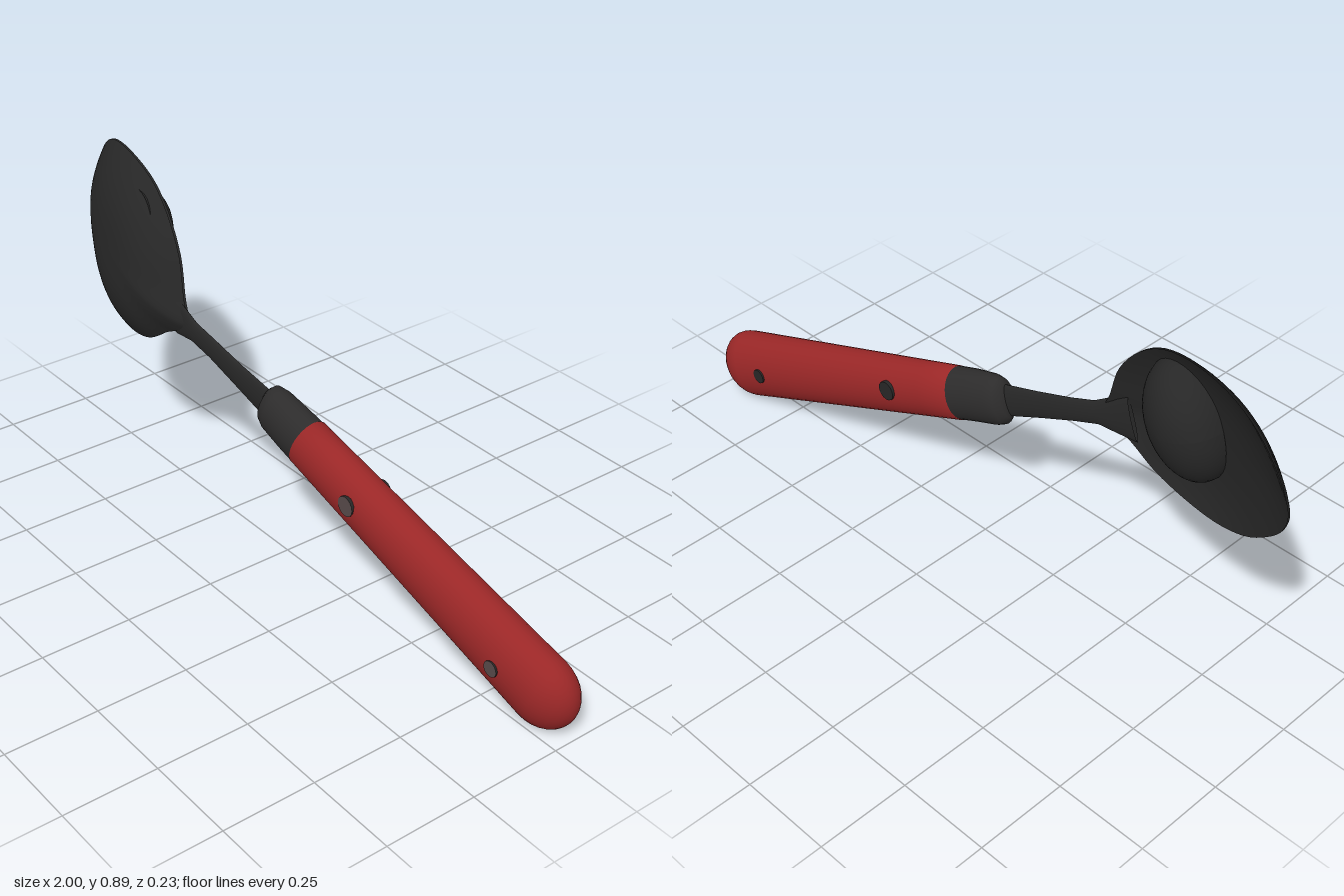
import * as THREE from 'three';

const mat = (name, color, side = THREE.FrontSide) => {
  const m = new THREE.MeshStandardMaterial({ color, side });
  m.name = name;
  return m;
};

function meshFrom(positions, indices) {
  const g = new THREE.BufferGeometry();
  g.setAttribute('position', new THREE.Float32BufferAttribute(positions, 3));
  g.setIndex(indices);
  g.computeVertexNormals();
  return g;
}

// Elliptical sections [x, y, z, halfHeight, halfDepth], square to the line from first to last
function loft(sections, n = 28) {
  const pos = [], idx = [];
  const first = sections[0], last = sections[sections.length - 1];
  const dx = last[0] - first[0], dy = last[1] - first[1], len = Math.hypot(dx, dy);
  sections.forEach(([x, y, z, w, t], i) => {
    for (let j = 0; j < n; j++) {
      const c = Math.cos(j / n * Math.PI * 2) * w, s = Math.sin(j / n * Math.PI * 2) * t;
      pos.push(x - dy / len * c, y + dx / len * c, z + s);
      if (i < sections.length - 1) {
        const p = i * n + j, q = i * n + (j + 1) % n;
        idx.push(p, q, p + n, q, q + n, p + n);
      }
    }
  });
  return meshFrom(pos, idx);
}

// Depth of the tilted, sagging bowl rim
const rimZ = (x, y) => 0.215 + 0.213 * x - 0.14 * y +
  0.045 * Math.max(0, 1 - ((x + 0.68) / 0.34) ** 2);

const OUTLINE = [[-0.34, 0.55], [-0.365, 0.62], [-0.4, 0.72], [-0.47, 0.81], [-0.55, 0.865], [-0.66, 0.89],
  [-0.8, 0.885], [-0.9, 0.85], [-0.97, 0.79], [-1, 0.73], [-0.98, 0.66], [-0.92, 0.58],
  [-0.82, 0.49], [-0.71, 0.44], [-0.6, 0.43], [-0.5, 0.45], [-0.42, 0.5], [-0.37, 0.525]];

// One side of the bowl: rings shrinking from the rim to the middle
function bowlSide(depth, offset, flip) {
  const curve = new THREE.CatmullRomCurve3(OUTLINE.map(([x, y]) => new THREE.Vector3(x, y, 0)), true);
  const n = 72, rings = 14, pos = [], idx = [];
  for (let k = 0; k <= rings; k++) {
    const r = 1 - k / rings;
    for (let j = 0; j < n; j++) {
      const p = curve.getPoint(j / n);
      const x = -0.67 + (p.x + 0.67) * r, y = 0.665 + (p.y - 0.665) * r;
      pos.push(x, y, rimZ(x, y) + depth * (1 - r ** 3) + offset);
      if (k < rings) {
        const a = k * n + j, b = k * n + (j + 1) % n;
        if (flip) idx.push(a, a + n, b, b, a + n, b + n);
        else idx.push(a, b, a + n, b, b + n, a + n);
      }
    }
  }
  return meshFrom(pos, idx);
}

export function createModel() {
  const black = mat('black metal', 0x272727, THREE.DoubleSide);
  const collarGrey = mat('collar black', 0x2d2c2c);
  const red = mat('red handle', 0x9a2727);
  const rivetGrey = mat('rivet grey', 0x574a49);

  const model = new THREE.Group();
  model.name = 'spoon';
  const add = (name, geometry, material) => {
    const m = new THREE.Mesh(geometry, material);
    m.name = name;
    model.add(m);
    return m;
  };

  // Bowl: convex front, shallow hollow back
  add('bowlFront', bowlSide(0.07, 0.003, false), black);
  add('bowlBack', bowlSide(0.035, -0.003, true), black);

  // Raised dome on the back of the bowl, following the rim tilt
  const dome = new THREE.SphereGeometry(1, 36, 14, 0, Math.PI * 2, 0, Math.PI / 2);
  dome.rotateX(-Math.PI / 2).scale(0.115, 0.165, 1).rotateZ(-0.27).translate(-0.605, 0.68, 0);
  const dp = dome.attributes.position;
  for (let i = 0; i < dp.count; i++) {
    dp.setZ(i, rimZ(dp.getX(i), dp.getY(i)) + 0.03 + 0.12 * dp.getZ(i));
  }
  dome.computeVertexNormals();
  add('bowlDome', dome, black);

  // Flat neck flaring into the bowl
  add('neck', loft([
    [-0.43, 0.57, 0.066, 0.06, 0.006], [-0.37, 0.552, 0.066, 0.048, 0.01],
    [-0.32, 0.537, 0.06, 0.032, 0.01], [-0.25, 0.513, 0.051, 0.032, 0.01],
    [-0.15, 0.477, 0.042, 0.037, 0.01], [-0.03, 0.435, 0.03, 0.046, 0.012],
  ]), black);

  // Collar
  add('collar', loft([
    [-0.052, 0.443, 0.025, 0, 0], [-0.052, 0.443, 0.025, 0.045, 0.022], [-0.04, 0.439, 0.025, 0.064, 0.038],
    [-0.015, 0.431, 0.024, 0.07, 0.047], [0.05, 0.41, 0.021, 0.072, 0.052], [0.115, 0.387, 0.016, 0.073, 0.055],
  ]), collarGrey);

  // Handle, widening to a rounded end
  const at = (s) => [0.104 + 0.8 * s, 0.391 - 0.291 * s, 0.016 - 0.057 * s, 0.074 + 0.025 * s, 0.056 + 0.014 * s];
  const sections = [[...at(0).slice(0, 3), 0, 0]];
  for (let i = 0; i <= 8; i++) sections.push(at(i / 8));
  for (let i = 1; i <= 8; i++) {
    const a = i / 8 * Math.PI / 2, c = Math.cos(a), e = at(1 + 0.118 * Math.sin(a));
    sections.push([e[0], e[1], e[2], 0.099 * c, 0.07 * c]);
  }
  add('handle', loft(sections), red);

  // Rivets through the handle: grey in front, dark behind
  [[0.31, 0.327, 0.27, 0.027], [0.81, 0.133, 0.88, 0.021]].forEach(([x, y, s, r]) => {
    const e = at(s);
    const g = new THREE.CylinderGeometry(r, r, 2 * e[4] + 0.006, 16).rotateX(Math.PI / 2);
    add('rivet', g, [black, rivetGrey, black]).position.set(x, y, e[2]);
  });

  return model;
}
